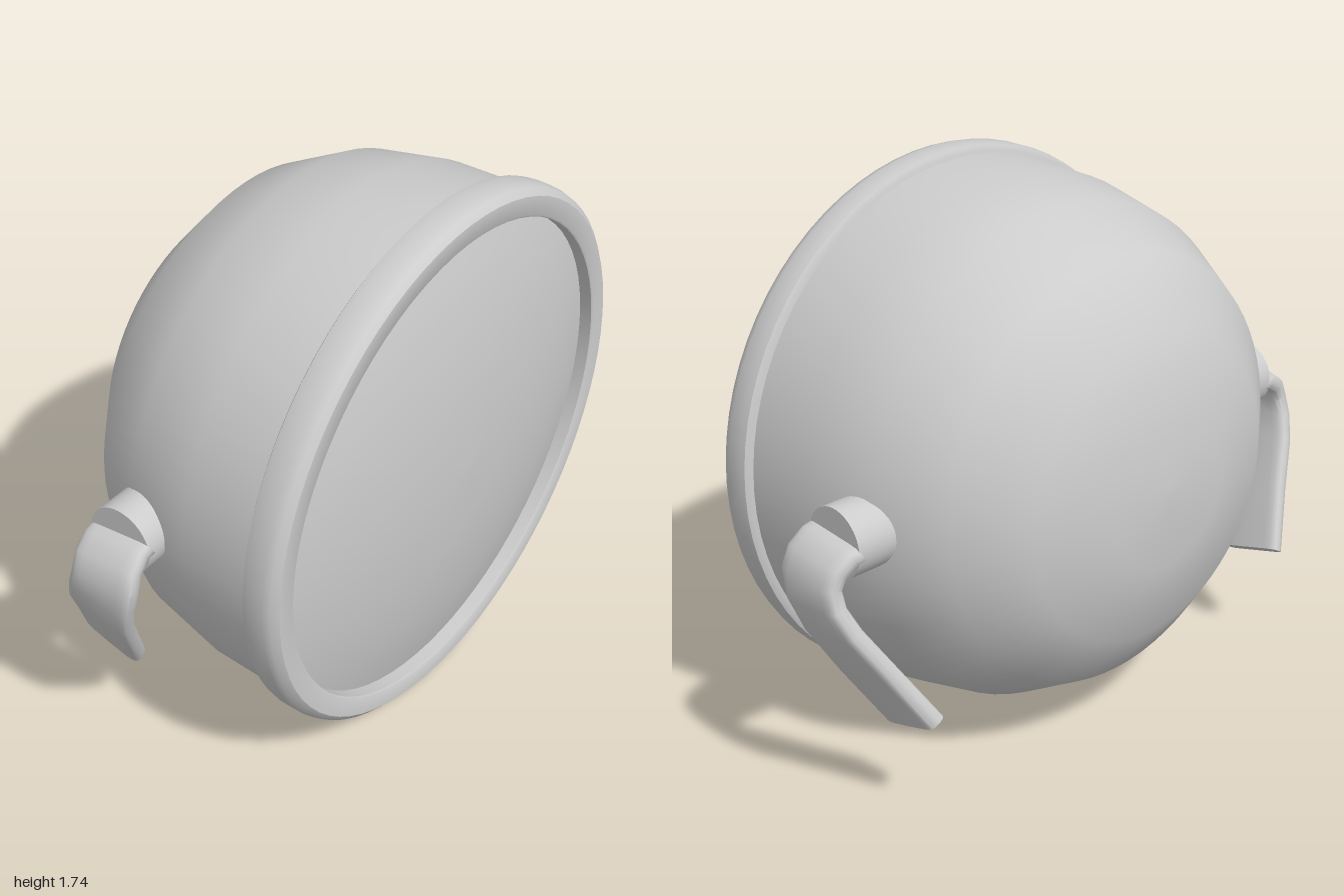
import * as THREE from 'three';
import { toCreasedNormals } from 'three/addons/utils/BufferGeometryUtils.js';

const grey = new THREE.MeshStandardMaterial({ color: 0xcccccc });
grey.name = 'plain grey';

function part(name, geometry) {
  const mesh = new THREE.Mesh(geometry, grey);
  mesh.name = name;
  return mesh;
}

// Lathe from [radius, distance along axis] pairs, turned to face +x
function turned(points, crease) {
  const geo = new THREE.LatheGeometry(points.map(([r, t]) => new THREE.Vector2(r, t)), 72);
  geo.rotateZ(-Math.PI / 2);
  return crease ? toCreasedNormals(geo, crease) : geo;
}

// Strap stations: centre x, y, z, sideways slope, angle of the outward normal in the y-z plane
const STATIONS = [
  [-0.065, 0.893, 0.872, 0.09, 1.05],
  [-0.065, 0.888, 0.900, 0.09, 0.95],
  [-0.060, 0.855, 0.945, 0.07, 0.60],
  [-0.056, 0.805, 0.966, 0.02, 0.18],
  [-0.075, 0.735, 0.967, -0.10, -0.18],
  [-0.110, 0.650, 0.939, -0.20, -0.48],
  [-0.165, 0.510, 0.860, -0.28, -0.55],
  [-0.242, 0.335, 0.757, -0.29, -0.55],
];

function strap(side) {
  const N = 20, pos = [], idx = [];
  const tri = (a, b, c) => (side > 0 ? idx.push(a, b, c) : idx.push(a, c, b));
  for (const [cx, cy, cz, slope, angle] of STATIONS) {
    const len = Math.hypot(1, slope);
    for (let i = 0; i < N; i++) {
      // rounded-rectangle section
      const a = (i / N) * Math.PI * 2, c = Math.cos(a), s = Math.sin(a);
      const u = 0.114 * Math.sign(c) * Math.abs(c) ** 0.4;
      const v = 0.032 * Math.sign(s) * Math.abs(s) ** 0.5;
      pos.push(cx + u / len, cy + (u * slope) / len + v * Math.sin(angle), side * (cz + v * Math.cos(angle)));
    }
  }
  const last = STATIONS.length - 1;
  for (let k = 0; k < last; k++) {
    for (let i = 0; i < N; i++) {
      const a = k * N + i, b = k * N + ((i + 1) % N);
      tri(a, a + N, b);
      tri(b, a + N, b + N);
    }
  }
  for (let i = 1; i < N - 1; i++) {
    tri(0, i, i + 1);
    tri(last * N, last * N + i + 1, last * N + i);
  }
  const geo = new THREE.BufferGeometry();
  geo.setAttribute('position', new THREE.Float32BufferAttribute(pos, 3));
  geo.setIndex(idx);
  // make sure the faces point outward whichever way the section runs
  const p = geo.getAttribute('position'), A = new THREE.Vector3(), B = new THREE.Vector3(), C = new THREE.Vector3();
  let volume = 0;
  for (let i = 0; i < idx.length; i += 3) {
    A.fromBufferAttribute(p, idx[i]);
    B.fromBufferAttribute(p, idx[i + 1]);
    C.fromBufferAttribute(p, idx[i + 2]);
    volume += A.dot(B.cross(C));
  }
  if (volume < 0) geo.setIndex(idx.slice().reverse());
  return toCreasedNormals(geo, 0.8);
}

export function createModel() {
  const model = new THREE.Group();
  model.name = 'lamp';

  // Lamp head, tipped slightly downward
  const head = new THREE.Group();
  head.name = 'lampHead';
  head.position.y = 0.8915;
  head.rotation.z = -0.027;
  head.add(part('bowl', turned([
    [0, -0.54], [0.235, -0.533], [0.485, -0.465], [0.673, -0.315],
    [0.788, -0.105], [0.835, 0.125], [0.843, 0.37],
  ])));
  head.add(part('rim', turned([
    [0.78, 0.36], [0.852, 0.36], [0.868, 0.37], [0.872, 0.39], [0.872, 0.44],
    [0.865, 0.465], [0.845, 0.482], [0.785, 0.482], [0.78, 0.478], [0.78, 0.43],
  ], 0.7)));
  head.add(part('lens', turned([
    [0.785, 0.435], [0.68, 0.465], [0.55, 0.494], [0.36, 0.522], [0.18, 0.535], [0, 0.538],
  ])));
  model.add(head);

  // Pivot lug and bent strap on each side
  for (const side of [1, -1]) {
    const mount = new THREE.Group();
    mount.name = side > 0 ? 'frontMount' : 'rearMount';
    const lug = part('lug', new THREE.CylinderGeometry(0.11, 0.11, 0.165, 40).rotateX(Math.PI / 2));
    lug.position.set(-0.065, 0.89, side * 0.8025);
    mount.add(lug, part('strap', strap(side)));
    model.add(mount);
  }
  return model;
}
